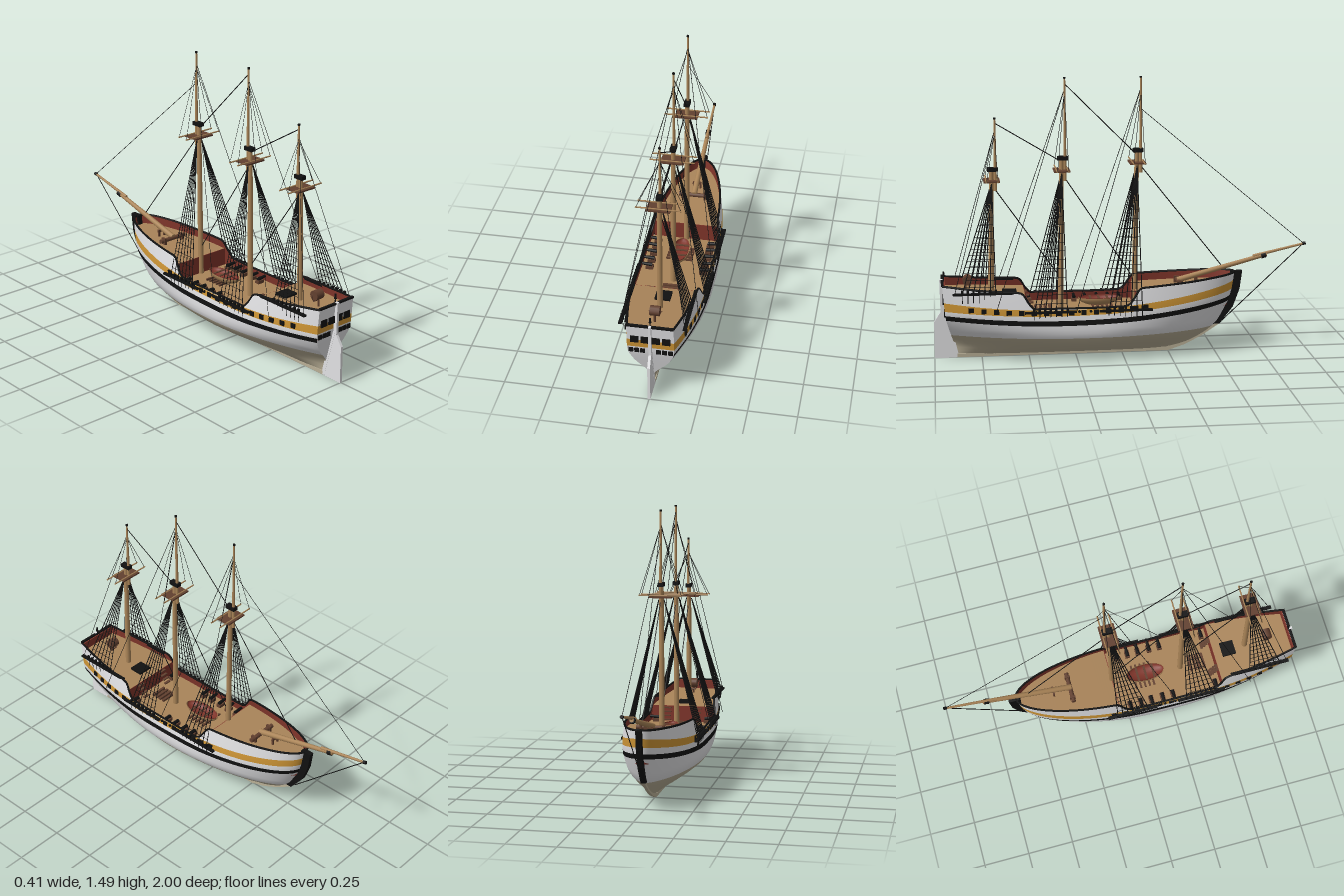
import * as THREE from 'three';
import { mergeGeometries } from 'three/addons/utils/BufferGeometryUtils.js';

const mat = (name, color) => {
  const m = new THREE.MeshStandardMaterial({ color, side: THREE.DoubleSide });
  m.name = name;
  return m;
};
const V = (x, y, z) => new THREE.Vector3(x, y, z);

// piecewise-linear lookup, points sorted by first value
function lin(p, x) {
  if (x <= p[0][0]) return p[0][1];
  for (let i = 1; i < p.length; i++) {
    if (x <= p[i][0]) return p[i - 1][1] + (p[i][1] - p[i - 1][1]) * (x - p[i - 1][0]) / (p[i][0] - p[i - 1][0]);
  }
  return p[p.length - 1][1];
}

// hull form: u runs from stern (0) to stem (1), y is the height
const STEM = [[.015, -.25], [.05, -.36], [.1, -.45], [.15, -.51], [.25, -.572], [.35, -.598], [.43, -.61]];
const STERN = [[.01, .88], [.25, .94], [.43, .955]];
const BREADTH = [[.015, .004], [.025, .035], [.04, .072], [.06, .11], [.085, .145], [.11, .172], [.14, .193], [.17, .2], [.22, .2], [.29, .192], [.36, .18], [.43, .168]];
const TRANSOM = [[.08, 0], [.13, .2], [.18, .42], [.25, .6], [.43, .7]];
const SHEER = [[-.6, .432], [-.35, .412], [-.09, .395], [-.065, .385], [-.045, .335], [-.02, .305], [.1, .3], [.48, .302], [.505, .32], [.52, .365], [.55, .387], [.75, .398], [.95, .42]];
const zOf = u => .95 - 1.55 * u;
const uOf = z => (.95 - z) / 1.55;
const sheer = u => lin(SHEER, zOf(u));
function hull(u, y, side = 1, inset = 0) {
  const a = lin(STERN, y), b = lin(STEM, y), len = a - b, z = a - len * u;
  const low = THREE.MathUtils.clamp((.3 - y) / .28, 0, 1);
  const s = Math.min(1, (z - b) / (.6 + .15 * low));
  const t = Math.min(1, (a - z) / (.5 + .3 * low));
  const p0 = lin(TRANSOM, y);
  const bow = Math.pow(Math.max(0, 1 - (1 - s) ** 2), .52 + .3 * low);
  const run = p0 + (1 - p0) * (1 - (1 - t) ** 2);
  return V(side * Math.max(0, lin(BREADTH, y) * bow * run - inset), y, z);
}
// stripe heights follow the sheer
const rise = u => { const z = zOf(u); return z > .3 ? ((z - .3) / .65) ** 2 : ((.3 - z) / .9) ** 2; };
const blackLow = u => .21 + (zOf(u) > .3 ? .025 : .07) * rise(u);
const yellowLow = u => .262 + (zOf(u) > .3 ? .023 : .08) * rise(u);
const yellowHigh = u => yellowLow(u) + .032 + .014 * rise(u);
const hullRows = u => {
  const k = blackLow(u);
  return [.015, .025, .04, .06, .085, .11, .138, .165, .188, k, k + .027, yellowLow(u), yellowHigh(u), sheer(u)];
};

// surface from a rule; one geometry group per row
function grid(nu, nv, fn, flip, rowMat) {
  const pos = [], idx = [], g = new THREE.BufferGeometry(), w = nu + 1;
  for (let j = 0; j <= nv; j++) for (let i = 0; i <= nu; i++) pos.push(...fn(i / nu, j).toArray());
  for (let j = 0; j < nv; j++) {
    for (let i = 0; i < nu; i++) {
      const a = j * w + i, b = a + 1, c = a + w, d = c + 1;
      idx.push(...(flip ? [a, c, b, b, c, d] : [a, b, c, b, d, c]));
    }
    if (rowMat) g.addGroup(j * nu * 6, nu * 6, rowMat(j));
  }
  g.setAttribute('position', new THREE.Float32BufferAttribute(pos, 3));
  g.setIndex(idx);
  g.computeVertexNormals();
  return g;
}
function rod(a, b, r0, r1 = r0, n = 5) {
  const d = b.clone().sub(a), g = new THREE.CylinderGeometry(r1, r0, d.length(), n);
  g.applyQuaternion(new THREE.Quaternion().setFromUnitVectors(V(0, 1, 0), d.normalize()));
  const c = a.clone().add(b).multiplyScalar(.5);
  return g.translate(c.x, c.y, c.z);
}
const box = (w, h, d, x, y, z) => new THREE.BoxGeometry(w, h, d).translate(x, y, z);

export function createModel() {
  const ship = new THREE.Group();
  const white = mat('white paint', 0xe2e2e4), yellow = mat('ochre paint', 0xcf9636), black = mat('black', 0x111111);
  const bottom = mat('bottom paint', 0xb9af96), deckM = mat('deck planks', 0xa98459), wood = mat('spar wood', 0xab8558);
  const red = mat('red paint', 0x80352a), brown = mat('dark wood', 0x62402f);
  const add = (name, geo, m) => {
    const mesh = new THREE.Mesh(Array.isArray(geo) ? mergeGeometries(geo) : geo, m);
    mesh.name = name;
    ship.add(mesh);
  };
  const paints = [bottom, white, black, yellow];

  // hull sides, inner bulwarks and rails
  for (const s of [1, -1]) {
    const rowU = v => 1 - (1 - v) ** 1.5;
    add('hullSide', grid(90, 13, (v, j) => { const u = rowU(v); return hull(u, hullRows(u)[j], s); }, s < 0,
      j => j < 6 ? 0 : j === 9 ? 2 : j === 11 ? 3 : 1), paints);
    add('innerBulwark', grid(90, 1, (v, j) => { const u = rowU(v); return hull(u, j ? sheer(u) : .25, s, .007); }, s > 0), red);
    const edge = [];
    for (let i = 0; i <= 70; i++) { const u = rowU(i / 70); edge.push(hull(u, sheer(u), s, .003)); }
    add('rail', new THREE.TubeGeometry(new THREE.CatmullRomCurve3(edge), 140, .006, 5), black);
  }

  // transom with stern windows
  add('transom', grid(2, 13, (v, j) => {
    const p = hull(0, hullRows(0)[j]);
    p.x *= 1 - 2 * v;
    return p;
  }, true, j => j === 11 ? 1 : 0), [white, yellow]);
  const panes = [];
  for (const s of [1, -1]) {
    for (const x of [.027, .08]) panes.push(box(.042, .038, .008, s * x, .337, .949));
    for (const x of [.04, .07, .1]) panes.push(box(.024, .024, .008, s * x, .265, .943));
  }
  add('sternWindows', panes, black);
  add('transomRail', box(.235, .01, .014, 0, .423, .953), black);
  add('transomInside', box(.22, .05, .006, 0, .395, .942), red);
  add('sternLantern', [rod(V(0, .42, .945), V(0, .45, .945), .003), rod(V(0, .445, .945), V(0, .472, .945), .007, .004, 8)], black);

  // profile pieces on the centre line, points are [z, y]
  const plate = (name, pts, thick, m) => {
    const shape = new THREE.Shape(pts.map(p => new THREE.Vector2(-p[0], p[1])));
    add(name, new THREE.ExtrudeGeometry(shape, { depth: thick, bevelEnabled: false }).rotateY(Math.PI / 2).translate(-thick / 2, 0, 0), m);
  };
  plate('stem', [[-.65, .435], [-.637, .337], [-.602, .24], [-.53, .145], [-.49, .145], [-.55, .24], [-.578, .337], [-.59, .435]], .026, black);
  plate('keel', [[.88, .005], [-.25, .005], [-.34, .035], [-.43, .08], [-.53, .145], [-.49, .145], [-.4, .09], [-.24, .025], [.88, .025]], .016, bottom);
  plate('sternpost', [[.87, .005], [.89, .005], [.955, .26], [.93, .26]], .016, white);
  plate('rudder', [[.885, .003], [1, .003], [1, .2], [.965, .255], [.968, .43], [.95, .43], [.943, .25]], .014, white);

  // decks and bulkheads
  const deck = (name, za, zb, height) => add(name, grid(40, 1, (v, j) => {
    const u = THREE.MathUtils.lerp(uOf(za), uOf(zb), v);
    return hull(u, height(u), j ? 1 : -1, .004);
  }, true), deckM);
  deck('quarterDeck', .95, .52, u => .343 + .03 * (zOf(u) - .52) / .43);
  deck('waistDeck', .53, -.08, () => .255);
  deck('foreDeck', -.07, -.6, u => .35 + .033 * (-.07 - zOf(u)) / .53);
  add('quarterBulkhead', box(.36, .09, .008, 0, .298, .522), red);
  add('foreBulkhead', box(.352, .096, .008, 0, .302, -.07), red);

  // gun ports and guns
  const ports = [], guns = [], trucks = [];
  for (const s of [1, -1]) {
    for (let i = 0; i < 15; i++) {
      const u = uOf(.81 - i * .066), y = (yellowLow(u) + yellowHigh(u)) / 2, p = hull(u, y, s);
      ports.push(box(.009, .025, .027, p.x, y, p.z));
    }
    for (const z of [0, .06, .12, .185, .245, .49]) {
      guns.push(rod(V(s * .13, .28, z), V(s * .2, .285, z), .01, .007, 8));
      trucks.push(box(.04, .018, .026, s * .145, .265, z));
    }
  }
  add('gunPorts', ports, black);
  add('guns', guns, black);
  add('gunCarriages', trucks, brown);

  // ship's boat on its skids
  const bowl = r => new THREE.SphereGeometry(r, 20, 8, 0, Math.PI * 2, Math.PI / 2, Math.PI / 2);
  add('boatHull', bowl(1).scale(.05, .045, .11).translate(0, .312, .125), wood);
  add('boatInside', bowl(1).scale(.046, .03, .105).translate(0, .3135, .125), red);
  add('boatThwarts', [.08, .125, .17].map(z => box(.08, .004, .012, 0, .309, z)), brown);
  add('boatSkids', [.06, .085, .11, .135, .16].map(z => box(.14, .01, .01, 0, .275, z)), brown);

  // deck fittings
  add('gratings', [.385, .41, .435, .46].map(z => box(.09, .012, .014, 0, .262, z)), brown);
  add('ladders', [-.085, .085].flatMap(x => [0, 1, 2, 3].map(i => box(.04, .006, .014, x, .272 + i * .02, .475 + i * .012))), brown);
  add('afterHatch', box(.08, .012, .075, 0, .355, .6), black);
  add('windlass', [rod(V(-.085, .385, -.305), V(.085, .385, -.305), .012, .012, 8), box(.012, .05, .03, -.06, .375, -.305), box(.012, .05, .03, .06, .375, -.305)], brown);
  add('bitts', [box(.05, .008, .01, 0, .4, -.4), box(.01, .05, .01, -.018, .385, -.4), box(.01, .05, .01, .018, .385, -.4)], brown);
  add('steeringWheel', [new THREE.TorusGeometry(.026, .004, 6, 18).translate(0, .415, .81), rod(V(0, .365, .83), V(0, .415, .83), .006),
    rod(V(0, .415, .8), V(0, .415, .835), .006), ...[0, 1, 2].map(i => rod(V(-.034, 0, 0), V(.034, 0, 0), .002).rotateZ(i * Math.PI / 3).translate(0, .415, .81))], brown);
  add('binnacle', [new THREE.CylinderGeometry(.026, .026, .05, 12).rotateZ(Math.PI / 2).translate(0, .425, .82)], brown);

  // masts, tops, shrouds and ratlines
  const masts = [
    { name: 'fore', z: -.066, zt: -.08, y0: .25, top: 1.04, cap: 1.1, tz: -.1, tip: 1.487, ch: [-.14, .14], cx: .198, cy: .285, back: .26 },
    { name: 'main', z: .328, zt: .318, y0: .25, top: 1.005, cap: 1.065, tz: .3, tip: 1.487, ch: [.26, .53], cx: .198, cy: .285, back: .68 },
    { name: 'mizzen', z: .697, zt: .685, y0: .34, top: .958, cap: 1.012, tz: .665, tip: 1.28, ch: [.57, .9], cx: .163, cy: .385, back: .89 },
  ];
  for (const m of masts) {
    add(m.name + 'LowerMast', rod(V(0, m.y0, m.z), V(0, m.cap, m.zt), .0155, .012, 12), wood);
    add(m.name + 'Topmast', rod(V(0, m.top - .06, m.tz), V(0, m.tip, m.tz), .009, .005, 10), wood);
    add(m.name + 'Cap', [box(.03, .02, .056, 0, m.cap, (m.zt + m.tz) / 2 + .004), rod(V(0, m.tip - .006, m.tz), V(0, m.tip + .003, m.tz), .007)], black);
    add(m.name + 'Top', box(.12, .008, .085, 0, m.top - .004, m.zt), brown);
    add(m.name + 'Crosstrees', [-.03, .03].map(d => rod(V(-.115, m.top + .004, m.zt + d), V(.115, m.top + .004, m.zt + d), .004)), wood);
    const ropes = [], channels = [], n = 7;
    for (const s of [1, -1]) {
      const head = V(s * .014, m.top - .02, m.zt), feet = [];
      for (let i = 0; i < n; i++) {
        const f = V(s * m.cx, m.cy, m.z - .02 + i * (m.ch[1] - m.z) / n);
        feet.push(f);
        ropes.push(rod(f, head, .0025, .0025, 4));
        channels.push(box(.012, .022, .012, f.x, f.y + .01, f.z), rod(f, V(f.x - s * .006, f.y - .05, f.z), .002, .002, 4));
      }
      for (let k = 1; k < 14; k++) {
        const t = k * .063;
        ropes.push(rod(feet[0].clone().lerp(head, t), feet[n - 1].clone().lerp(head, t), .0014, .0014, 4));
      }
      for (const d of [-.03, .03]) ropes.push(rod(V(s * .113, m.top, m.zt + d), V(0, m.tip - .08, m.tz), .0013, .0013, 4));
      ropes.push(rod(V(s * m.cx, m.cy, m.back), V(0, m.tip - .06, m.tz), .0015, .0015, 4));
      channels.push(box(.018, .01, m.ch[1] - m.ch[0], s * m.cx, m.cy, (m.ch[0] + m.ch[1]) / 2));
    }
    add(m.name + 'Rigging', ropes, black);
    add(m.name + 'Channels', channels, black);
  }

  // bowsprit and stays
  add('bowsprit', rod(V(0, .392, -.3), V(0, .52, -.785), .016, .011, 10), wood);
  add('jibBoom', rod(V(0, .512, -.71), V(0, .575, -.99), .009, .006, 8), wood);
  add('bowspritBands', [rod(V(0, .511, -.755), V(0, .518, -.78), .015, .015, 10), rod(V(0, .573, -.98), V(0, .577, -.997), .009, .009, 8)], black);
  const stays = [
    [1.32, -.1, .577, -.985], [1.03, -.09, .457, -.545], [.57, -.98, .16, -.545],
    [1.455, .3, 1.08, -.075], [.965, .305, .42, -.055], [1.255, .665, 1.05, .325], [.91, .67, .44, .34],
  ];
  add('stays', stays.map(([y0, z0, y1, z1], i) => rod(V(0, y0, z0), V(0, y1, z1), i === 0 ? .0015 : .0025, undefined, 4)), black);
  return ship;
}
